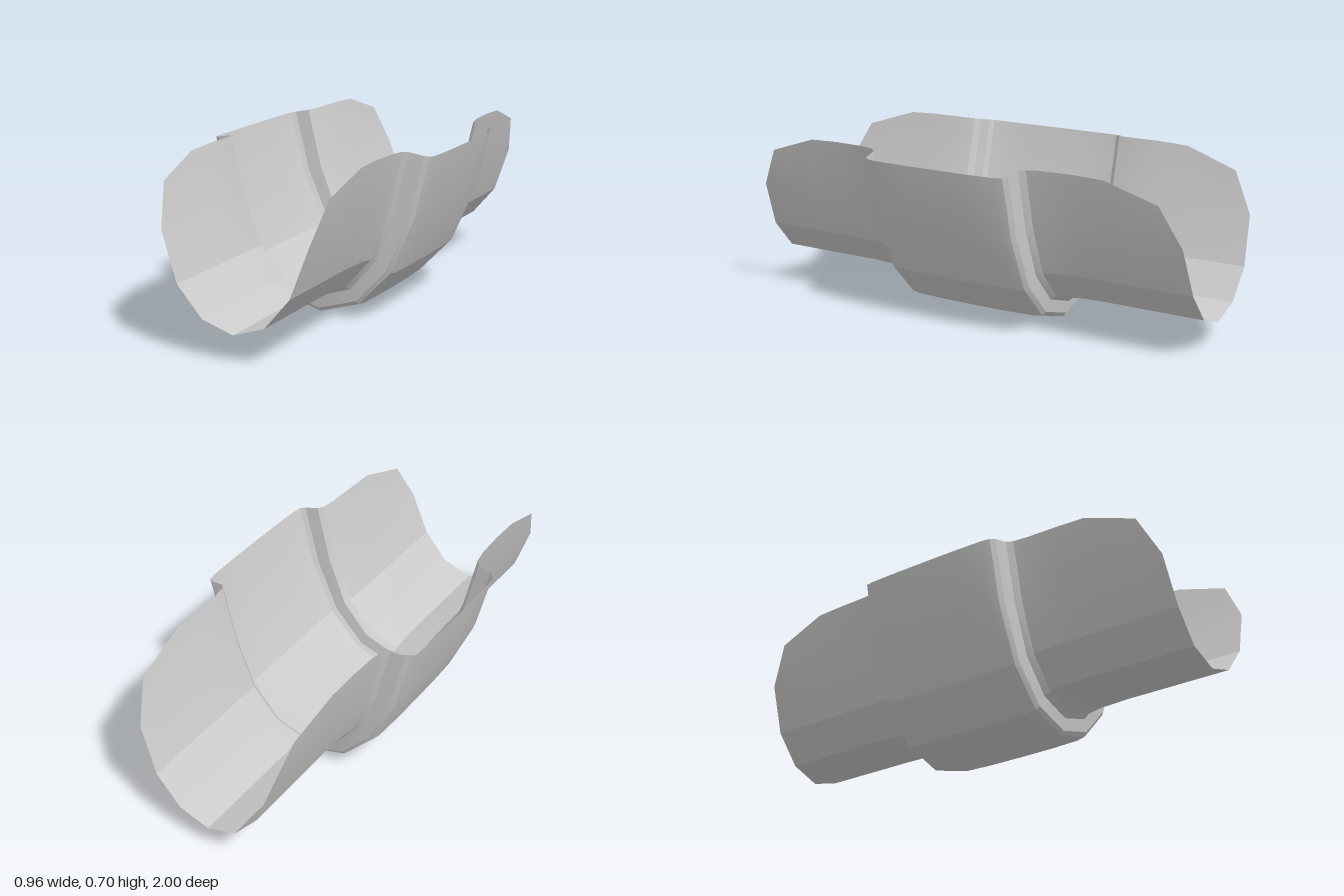
import * as THREE from 'three';
import { toCreasedNormals } from 'three/addons/utils/BufferGeometryUtils.js';

// Half cross-sections of the trough, from the keel up to the rim
const INNER = [[0, 0.112], [0.13, 0.155], [0.233, 0.275], [0.304, 0.468], [0.36, 0.707]];
const OUTER = [[0, 0.004], [0.174, 0.055], [0.315, 0.2], [0.416, 0.423], [0.482, 0.683]];

// Stations along the length: [z, swell from inner to outer section, rim position in rows]
const HALF = [
  [0, 1, 4], [0.15, 0.995, 4], [0.28, 0.96, 4], [0.315, 0.9, 4], [0.329, 0.75, 4],
  [0.337, 0.27, 4], [0.36, 0.12, 4], [0.42, 0.04, 4], [0.55, 0, 4],
  [0.68, 0, 3.98], [0.9, 0, 3.68], [0.985, 0, 3], [1, 0, 2],
];

// Point on the section at fractional row u
function sectionPoint(u, swell) {
  const i = Math.min(Math.floor(u), 3), f = u - i;
  const at = (s, k) => THREE.MathUtils.lerp(s[i][k], s[i + 1][k], f);
  return [0, 1].map((k) => THREE.MathUtils.lerp(at(INNER, k), at(OUTER, k), swell));
}

function troughGeometry() {
  const stations = [
    ...HALF.slice(1).reverse().map(([z, s, r]) => [-z, s, r]),
    ...HALF,
  ];
  const positions = [], index = [];
  stations.forEach(([z, swell, rim], i) => {
    for (let j = -4; j <= 4; j++) {
      const [x, y] = sectionPoint(Math.min(Math.abs(j), rim), swell);
      positions.push(Math.sign(j) * x, y, z);
      if (i > 0 && j > -4) {
        const d = i * 9 + j + 4, c = d - 1, b = d - 9, a = c - 9;
        // Rows that collapse at the rounded corners leave out empty triangles
        const prev = stations[i - 1][2];
        const reach = Math.max(Math.abs(j), Math.abs(j - 1)) - 1;
        const oldOpen = prev > reach, newOpen = rim > reach;
        if (oldOpen && newOpen) index.push(a, b, d, a, d, c);
        else if (oldOpen) index.push(a, b, d);
        else if (newOpen) index.push(a, d, c);
      }
    }
  });
  const geometry = new THREE.BufferGeometry();
  geometry.setAttribute('position', new THREE.Float32BufferAttribute(positions, 3));
  geometry.setIndex(index);
  return toCreasedNormals(geometry, 0.33);
}

export function createModel() {
  const group = new THREE.Group();
  group.name = 'trough';
  // Thin open sheet with a wider band round the middle
  const shell = new THREE.Mesh(
    troughGeometry(),
    new THREE.MeshStandardMaterial({ color: 0xcccccc, side: THREE.DoubleSide }),
  );
  shell.name = 'troughShell';
  group.add(shell);
  return group;
}
